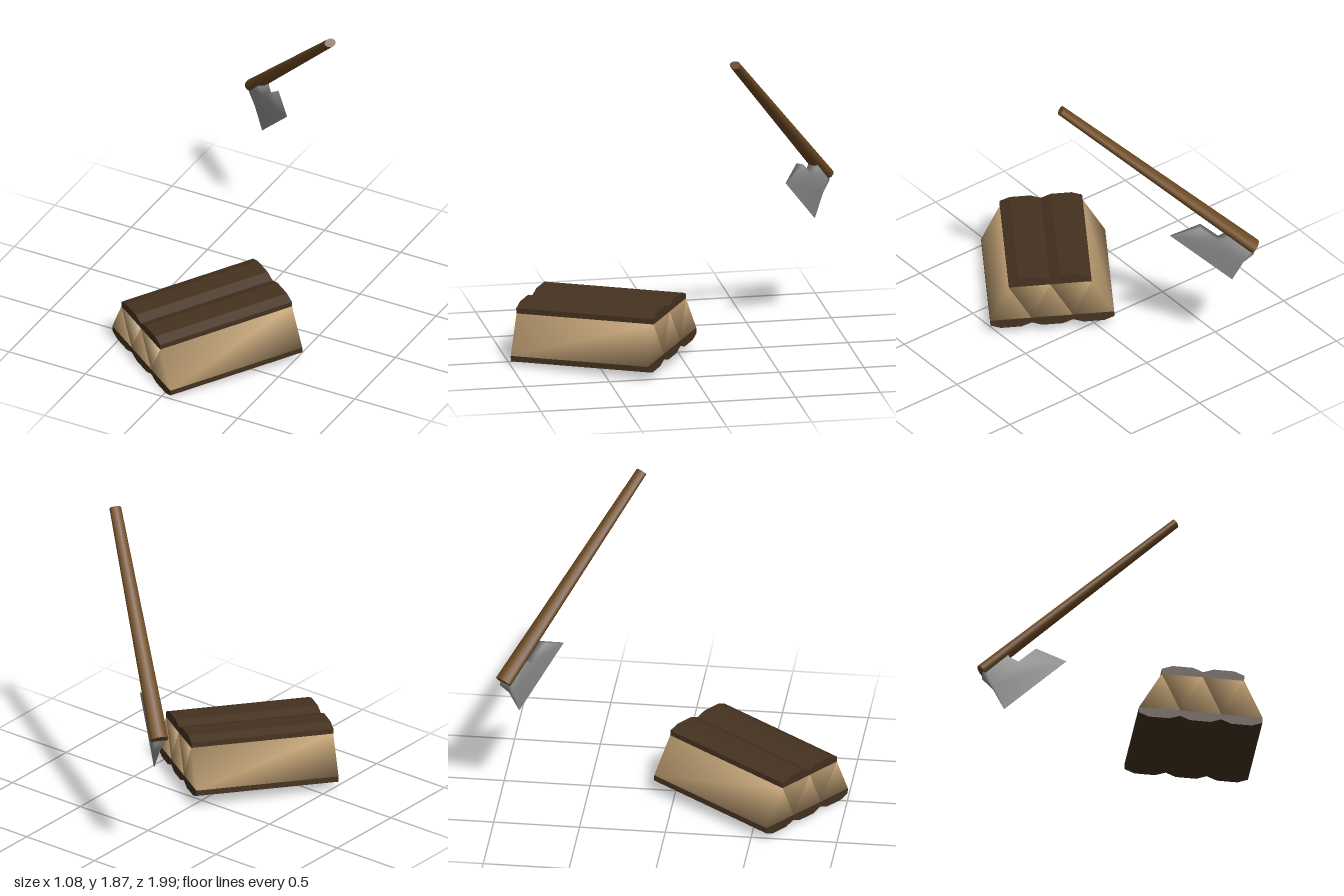
import * as THREE from 'three';
import { mergeVertices } from 'three/addons/utils/BufferGeometryUtils.js';

const mat = (name, color) => {
  const m = new THREE.MeshStandardMaterial({ color });
  m.name = name;
  return m;
};

// Extrude a polygon along z, centred on z = 0
function prism(points, depth) {
  const shape = new THREE.Shape(points.map(([x, y]) => new THREE.Vector2(x, y)));
  return new THREE.ExtrudeGeometry(shape, { depth, bevelEnabled: false }).translate(0, 0, -depth / 2);
}

// Share the corner vertices so shading blends over the edges
function soften(geometry) {
  geometry.deleteAttribute('normal');
  geometry.deleteAttribute('uv');
  const g = mergeVertices(geometry, 1e-4);
  g.computeVertexNormals();
  return g;
}

function add(parent, name, geometry, material) {
  const mesh = new THREE.Mesh(geometry, material);
  mesh.name = name;
  parent.add(mesh);
  return mesh;
}

export function createModel() {
  const model = new THREE.Group();
  model.name = 'axeAndFirewood';
  const wood = mat('split wood', 0xc0a074);
  const bark = mat('bark', 0x453220);
  const handleWood = mat('handle wood', 0x6e4a22);
  const steel = mat('steel', 0x8f8f8f);

  // Firewood stack: three wedges bark down, two bark up in the gaps
  const stack = new THREE.Group();
  stack.name = 'firewoodStack';
  stack.position.set(0, 0.07, 0.4375);
  stack.rotation.set(0.043, -0.595, -0.05, 'YXZ');
  model.add(stack);

  const length = 0.863;
  const woodGeometry = soften(prism([[-0.12, 0.017], [0.12, 0.017], [0, 0.238]], length));
  const barkGeometry = prism([
    [-0.12, -0.015], [-0.06, -0.037], [0.06, -0.037], [0.12, -0.015], [0.12, 0.018], [-0.12, 0.018],
  ], length);

  function log(x, flipped) {
    const g = new THREE.Group();
    g.name = flipped ? 'upperLog' : 'lowerLog';
    add(g, 'logWood', woodGeometry, wood);
    add(g, 'logBark', barkGeometry, bark);
    g.position.set(x, flipped ? 0.255 : 0, 0);
    if (flipped) g.rotation.z = Math.PI;
    stack.add(g);
  }
  for (const x of [-0.24, 0, 0.24]) log(x, false);
  for (const x of [-0.12, 0.12]) log(x, true);

  // Axe: local x runs along the handle's ground direction, z across the blade
  const axe = new THREE.Group();
  axe.name = 'axe';
  axe.position.set(-0.44, 0.897, -0.952);
  axe.rotation.y = -0.673;
  model.add(axe);

  // Tapered oval handle starting at the head
  const handleLength = 1.474;
  const handleGeometry = new THREE.CylinderGeometry(0.035, 0.0535, handleLength, 12)
    .translate(0, handleLength / 2, 0)
    .scale(0.72, 1, 1)
    .rotateZ(0.7056 - Math.PI / 2);
  add(axe, 'handle', handleGeometry, handleWood);

  // Blade outline, thinning toward the cutting edge
  const edgeStart = [0.13, -0.238], edgeEnd = [0.49, 0.07];
  const blade = prism([
    edgeStart, edgeEnd, [0.315, 0.14], [0.212, 0.056], [0.162, 0.081],
    [0.145, 0.11], [0.02, 0.01], [0.003, -0.034], [0.066, -0.104],
  ], 1);
  const p = blade.attributes.position;
  for (let i = 0; i < p.count; i++) {
    const distance = -0.65 * (p.getX(i) - edgeStart[0]) + 0.76 * (p.getY(i) - edgeStart[1]);
    p.setZ(i, p.getZ(i) * (0.003 + 0.25 * Math.max(0, distance)));
  }
  add(axe, 'blade', soften(blade), steel);

  return model;
}
